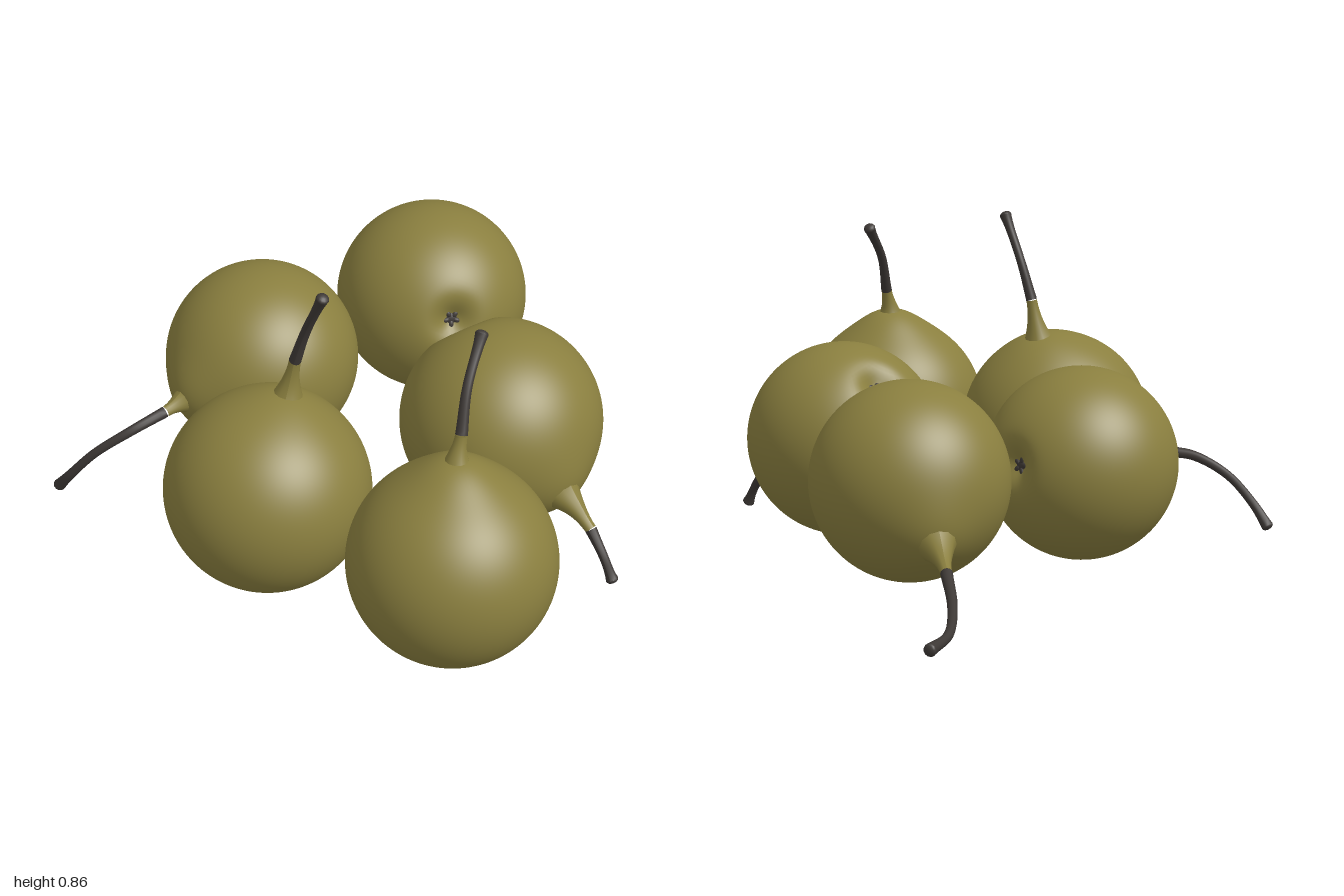
import * as THREE from 'three';
import { mergeVertices } from 'three/addons/utils/BufferGeometryUtils.js';

const V = (a) => new THREE.Vector3(...a);

// centre and radius of the body, calyx direction, swelling toward the stem,
// neck path (flesh) and the stem path that continues from its end
const pears = [
  { c: [-0.13, 0.25, 0.565], r: 0.262, calyx: [0, -1, 0.12], bump: 0.012,
    neck: [[-0.094, 0.47, 0.508], [-0.082, 0.54, 0.5], [-0.07, 0.61, 0.497]],
    stem: [[-0.04, 0.71, 0.508], [0.01, 0.84, 0.54]] },
  { c: [0.37, 0.25, 0.74], r: 0.26, calyx: [0, -1, 0.2], bump: 0.034,
    neck: [[0.37, 0.49, 0.71], [0.37, 0.54, 0.702], [0.376, 0.6, 0.685]],
    stem: [[0.378, 0.7, 0.63], [0.395, 0.795, 0.54]] },
  { c: [0.4, 0.266, 0.195], r: 0.262, calyx: [-0.5, 0.68, -0.5], bump: 0.02,
    neck: [[0.58, 0.19, 0.355], [0.625, 0.163, 0.385], [0.67, 0.125, 0.415]],
    stem: [[0.71, 0.07, 0.45], [0.737, 0.016, 0.47]] },
  { c: [0.125, 0.264, -0.305], r: 0.257, calyx: [0.4, 0.3, 0.85], bump: 0.02,
    neck: [[0.022, 0.155, -0.51], [0, 0.134, -0.56], [-0.025, 0.11, -0.63]],
    stem: [[-0.06, 0.06, -0.75], [-0.072, 0.025, -0.88], [-0.047, 0.016, -0.978]] },
  { c: [-0.268, 0.252, 0.04], r: 0.255, calyx: [0.62, 0.1, -0.75], bump: 0.025,
    neck: [[-0.41, 0.243, 0.235], [-0.435, 0.24, 0.265], [-0.465, 0.235, 0.305]],
    stem: [[-0.54, 0.21, 0.37], [-0.63, 0.15, 0.405], [-0.7, 0.07, 0.41], [-0.738, 0.016, 0.395]] },
];

// Round body: a sphere swollen toward the stem and dimpled at the calyx
function bodyGeometry(p, stemDir, calyxDir) {
  const raw = new THREE.IcosahedronGeometry(1, 24);
  raw.deleteAttribute('normal');
  raw.deleteAttribute('uv');
  const geo = mergeVertices(raw, 1e-5);
  const pos = geo.attributes.position;
  const v = new THREE.Vector3();
  for (let i = 0; i < pos.count; i++) {
    v.fromBufferAttribute(pos, i).normalize();
    const s = v.angleTo(stemDir), k = v.angleTo(calyxDir);
    v.multiplyScalar(p.r + p.bump * Math.exp(-((s / 0.36) ** 2)) - 0.045 * Math.exp(-((k / 0.2) ** 2)));
    pos.setXYZ(i, v.x, v.y, v.z);
  }
  geo.computeVertexNormals();
  return geo;
}

// Tube whose radius follows a rule along the path
function taperedTube(curve, radiusAt, rings = 24, sides = 12) {
  const geo = new THREE.TubeGeometry(curve, rings, 1, sides, false);
  const pos = geo.attributes.position;
  const v = new THREE.Vector3();
  for (let i = 0; i <= rings; i++) {
    const mid = curve.getPointAt(i / rings);
    for (let j = 0; j <= sides; j++) {
      const n = i * (sides + 1) + j;
      v.fromBufferAttribute(pos, n).sub(mid).multiplyScalar(radiusAt(i / rings)).add(mid);
      pos.setXYZ(n, v.x, v.y, v.z);
    }
  }
  geo.computeVertexNormals();
  return geo;
}

export function createModel() {
  const skin = new THREE.MeshStandardMaterial({ name: 'olive skin', color: 0x8a7f3f });
  const bark = new THREE.MeshStandardMaterial({ name: 'dark stem', color: 0x3d3835 });
  const up = new THREE.Vector3(0, 1, 0);
  const model = new THREE.Group();
  model.name = 'pears';

  pears.forEach((p, i) => {
    const pear = new THREE.Group();
    pear.name = `pear${i + 1}`;
    const add = (name, geo, mat) => {
      const mesh = new THREE.Mesh(geo, mat);
      mesh.name = name;
      pear.add(mesh);
      return mesh;
    };
    const centre = V(p.c);
    const neckPts = p.neck.map(V);
    const stemPts = [neckPts[2], ...p.stem.map(V)];
    const stemDir = neckPts[0].clone().sub(centre).normalize();
    const calyxDir = V(p.calyx).normalize();

    add('body', bodyGeometry(p, stemDir, calyxDir), skin).position.copy(centre);

    // Flesh flaring up into the stem
    add('neck', taperedTube(new THREE.CatmullRomCurve3(neckPts), (t) => 0.015 + 0.042 * (1 - t) ** 2), skin);

    // Thin woody stem, thicker at both ends, with a knob on the tip
    const curve = new THREE.CatmullRomCurve3(stemPts);
    add('stem', taperedTube(curve, (t) => 0.0115 + 0.004 * (1 - t) ** 3 + 0.005 * t ** 8), bark);
    const knob = add('stemTip', new THREE.SphereGeometry(0.0165, 12, 8), bark);
    knob.scale.y = 0.6;
    knob.position.copy(stemPts[stemPts.length - 1]);
    knob.quaternion.setFromUnitVectors(up, curve.getTangentAt(1));

    // Dried calyx in the dimple: a small disc ringed by five sepals
    const calyx = new THREE.Group();
    calyx.name = 'calyx';
    const disc = new THREE.Mesh(new THREE.SphereGeometry(0.016, 12, 8), bark);
    disc.name = 'calyxDisc';
    disc.scale.y = 0.4;
    calyx.add(disc);
    for (let k = 0; k < 5; k++) {
      const a = (k / 5) * Math.PI * 2;
      const sepal = new THREE.Mesh(new THREE.SphereGeometry(0.009, 8, 6), bark);
      sepal.name = 'sepal';
      sepal.scale.set(1.3, 0.6, 0.8);
      sepal.position.set(Math.cos(a) * 0.016, 0.003, Math.sin(a) * 0.016);
      sepal.rotation.y = -a;
      calyx.add(sepal);
    }
    calyx.position.copy(centre).addScaledVector(calyxDir, p.r - 0.043);
    calyx.quaternion.setFromUnitVectors(up, calyxDir);
    pear.add(calyx);

    model.add(pear);
  });
  return model;
}
